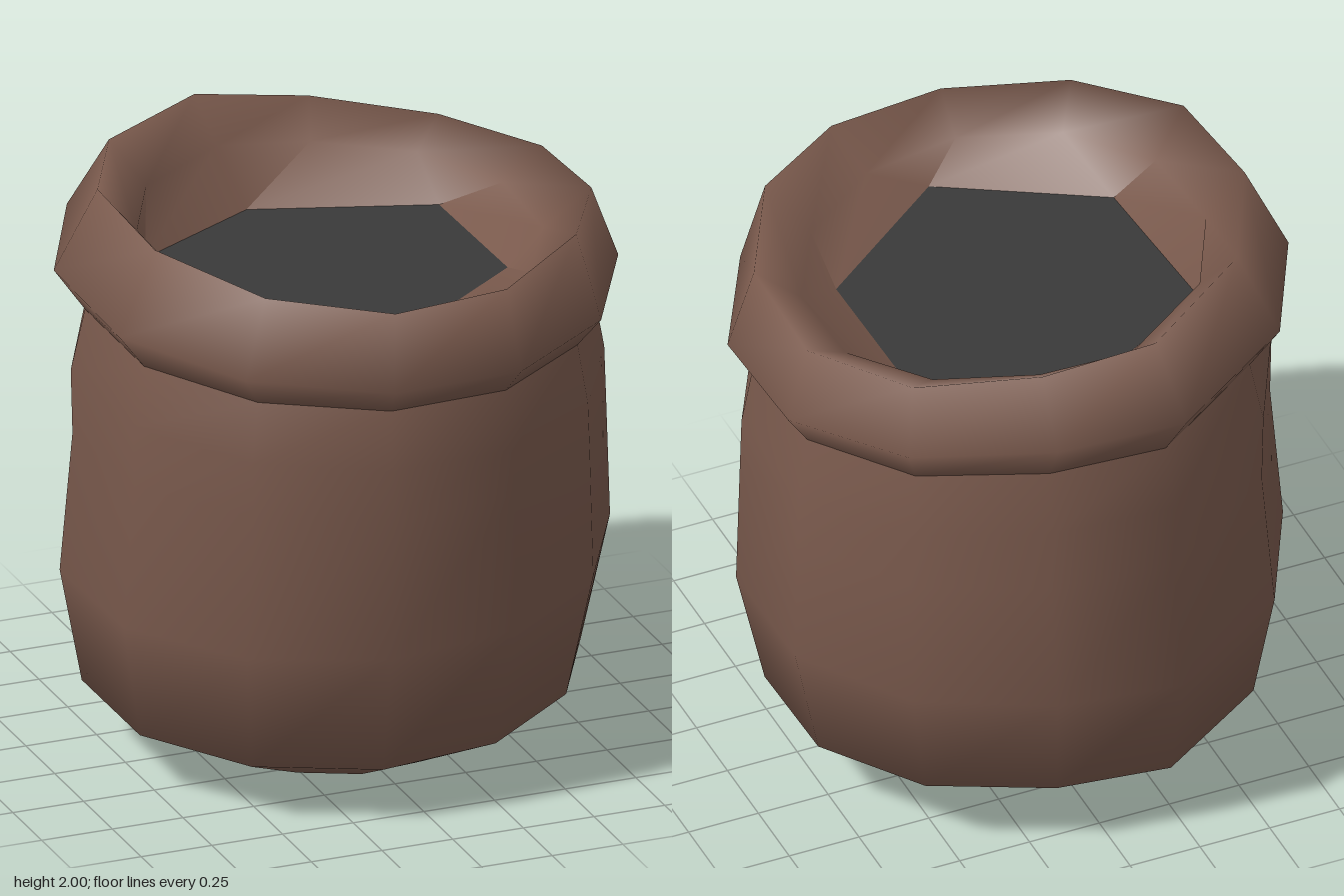
import * as THREE from 'three';

// Widest outline of the rolled rim, x and z, going round from the left side to the front
const RIM = [
  [0.92, 0.18], [0.68, 0.62], [0.28, 0.91], [-0.19, 0.96], [-0.63, 0.75], [-0.91, 0.34],
  [-0.93, -0.18], [-0.70, -0.63], [-0.22, -0.96], [0.22, -0.91], [0.66, -0.70], [0.92, -0.31],
];
// Uneven heights of the rim's crest
const CREST = [1.87, 1.89, 1.85, 1.845, 1.89, 1.96, 2.0, 1.99, 1.97, 1.92, 1.865, 1.85];
// Six-sided surface of the contents
const FILL = [[0.50, 0.25], [0, 0.63], [-0.53, 0.33], [-0.57, -0.27], [-0.11, -0.52], [0.49, -0.32]];
const FILL_Y = 1.66;

// Ring at a scale of the rim outline, shifted by dx, dz and tilted by tx, tz
function ring(y, scale, dx = 0, dz = 0, tx = 0, tz = 0) {
  return RIM.map(([x, z]) => {
    const px = x * scale + dx, pz = z * scale + dz;
    return [px, y + tx * px + tz * pz, pz];
  });
}

// Smooth skin through a list of rings
function loft(rings) {
  const n = rings[0].length, index = [];
  for (let r = 0; r < rings.length - 1; r++) {
    for (let i = 0; i < n; i++) {
      const a = r * n + i, b = r * n + (i + 1) % n;
      index.push(a, a + n, b, b, a + n, b + n);
    }
  }
  const geometry = new THREE.BufferGeometry();
  geometry.setAttribute('position', new THREE.Float32BufferAttribute(rings.flat(2), 3));
  geometry.setIndex(index);
  geometry.computeVertexNormals();
  return geometry;
}

export function createModel() {
  const cloth = new THREE.MeshStandardMaterial({ color: 0x79594c });
  cloth.name = 'brown cloth';
  const dark = new THREE.MeshStandardMaterial({ color: 0x393939 });
  dark.name = 'dark contents';

  const group = new THREE.Group();
  group.name = 'sack';
  const add = (name, geometry, material) => {
    const mesh = new THREE.Mesh(geometry, material);
    mesh.name = name;
    group.add(mesh);
  };

  // Bulging body with a closed, flat bottom
  const tuck = ring(1.53, 0.9, 0.01, 0, -0.03, -0.045);
  add('body', loft([
    ring(0, 0, 0.01, -0.03),
    ring(0, 0.43, 0.01, -0.03),
    ring(0.235, 0.885, 0.0, -0.04, 0.02, -0.04),
    ring(0.65, 0.975, 0.01, -0.035, 0.03, -0.02),
    ring(1.12, 0.945, 0.015, -0.01),
    ring(1.32, 0.945, 0.005, 0, -0.03, -0.03),
    tuck,
  ]), cloth);

  // Rolled rim, folding over the crest and down to the contents
  const crest = ring(0, 0.875, 0.015, 0.035).map(([x, , z], i) => [x, CREST[i], z]);
  const inner = ring(1.79, 0.72, 0, 0.03, -0.06, -0.06);
  const mouth = RIM.map((_, i) => {
    const [x, z] = FILL[Math.floor(i / 2)];
    return [x, FILL_Y, z];
  });
  add('rolledRim', loft([tuck, ring(1.66, 1, 0, 0, -0.04, -0.07), crest, inner, mouth]), cloth);

  // Flat surface of the contents
  const shape = new THREE.Shape(FILL.map(([x, z]) => new THREE.Vector2(x, -z)));
  const fill = new THREE.ShapeGeometry(shape).rotateX(-Math.PI / 2).translate(0, FILL_Y, 0);
  add('contents', fill, dark);

  return group;
}
